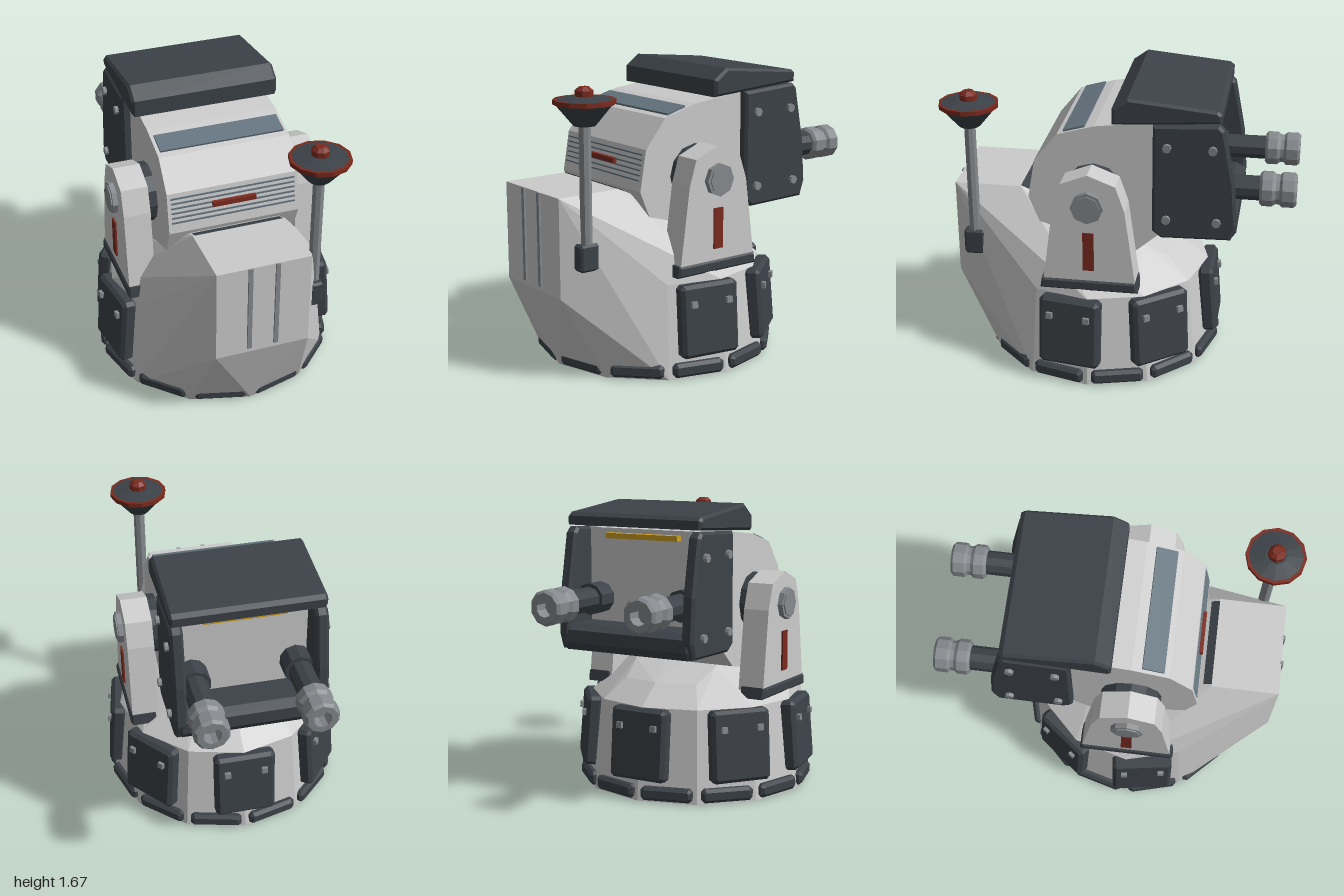
import * as THREE from 'three';
import { ConvexGeometry } from 'three/addons/geometries/ConvexGeometry.js';

const mat = (color) => new THREE.MeshStandardMaterial({ color, flatShading: true });
const grey = mat(0xcccccc), dark = mat(0x3c4248), steel = mat(0x868a8e);
const red = mat(0x7a2a1e), slate = mat(0x64747f), yellow = mat(0xd0a020);
const CZ = 0.125; // axis of the round base and the tilting drum

export function createModel() {
  const root = new THREE.Group();

  const add = (name, geo, material, parent = root) => {
    const m = new THREE.Mesh(geo, material);
    m.name = name;
    parent.add(m);
    return m;
  };
  const box = (name, w, h, d, x, y, z, material, parent) => {
    const m = add(name, new THREE.BoxGeometry(w, h, d), material, parent);
    m.position.set(x, y, z);
    return m;
  };
  // Side profile of [z, y] points, extruded from x0 to x1 with a chamfer
  const slab = (name, pts, x0, x1, bevel, material) => {
    const shape = new THREE.Shape(pts.map(([z, y]) => new THREE.Vector2(z, y)));
    const geo = new THREE.ExtrudeGeometry(shape, {
      depth: x1 - x0 - 2 * bevel, bevelEnabled: bevel > 0, bevelSegments: 1,
      bevelSize: bevel, bevelThickness: bevel, bevelOffset: -bevel,
    });
    geo.rotateY(-Math.PI / 2).translate(x1 - bevel, 0, 0);
    return add(name, geo, material);
  };
  // Cylinder lying along x or z
  const rod = (name, axis, r, len, x, y, z, sides, material) => {
    const geo = new THREE.CylinderGeometry(r, r, len, sides);
    if (axis === 'x') geo.rotateZ(Math.PI / 2);
    else geo.rotateX(Math.PI / 2);
    add(name, geo, material).position.set(x, y, z);
  };
  // Chamfered rectangular plate facing +z, centred
  const plate = (w, h, d, c) => {
    const s = new THREE.Shape();
    const a = w / 2, b = h / 2;
    [[a - c, -b], [a, c - b], [a, b - c], [a - c, b], [c - a, b], [-a, b - c], [-a, c - b], [c - a, -b]]
      .forEach(([x, y], i) => (i ? s.lineTo(x, y) : s.moveTo(x, y)));
    return new THREE.ExtrudeGeometry(s, {
      depth: d - 2 * c, bevelSize: c, bevelThickness: c, bevelOffset: -c, bevelSegments: 1,
    }).translate(0, 0, c - d / 2);
  };

  // Base: twelve-sided drum blended into a raised front block
  const pts = [];
  for (const [r, y] of [[0.675, 0], [0.62, 0.53], [0.47, 0.645]]) {
    for (let i = 0; i < 12; i++) {
      const a = (i * Math.PI) / 6;
      if (y > 0 && Math.sin(a) > 0.6) continue;
      pts.push(new THREE.Vector3(r * Math.cos(a), y, CZ + r * Math.sin(a)));
    }
  }
  for (const x of [-0.27, 0.27]) {
    for (const [y, z] of [[0.48, 0.955], [1.04, 0.955], [1.04, 0.57], [0.985, 0.47], [0.73, -0.12]]) {
      pts.push(new THREE.Vector3(x, y, z));
    }
  }
  add('baseHull', new ConvexGeometry(pts), grey);
  for (const x of [-0.08, 0.075]) box('frontRib', 0.025, 0.53, 0.02, x, 0.775, 0.956, steel);
  const slot = box('hullSlot', 0.51, 0.02, 0.05, 0, 1.025, 0.55, dark);
  slot.rotation.x = -0.4;

  // Bumpers around the foot of the base
  for (let i = 0; i < 12; i++) {
    const a = Math.PI / 12 + (i * Math.PI) / 6;
    const b = add('footBumper', plate(0.3, 0.08, 0.06, 0.018), dark);
    b.position.set(0.652 * Math.cos(a), 0.05, CZ + 0.652 * Math.sin(a));
    b.rotation.y = Math.PI / 2 - a;
  }

  // Armour panels with two bolts each
  for (const deg of [9, -38, -90, -142, 171]) {
    const a = (deg * Math.PI) / 180;
    const g = new THREE.Group();
    g.name = 'armourPanel';
    g.position.set(0.635 * Math.cos(a), 0.325, CZ + 0.635 * Math.sin(a));
    g.rotation.order = 'YXZ';
    g.rotation.set(-0.08, Math.PI / 2 - a, 0);
    add('panelPlate', plate(0.355, 0.41, 0.09, 0.02), dark, g);
    for (const x of [-0.11, 0.11]) box('panelBolt', 0.035, 0.035, 0.03, x, 0.1, 0.05, steel, g);
    root.add(g);
  }

  // Tilting head, a faceted drum with a squared rear
  slab('headDrum', [[0.12, 0.7], [-0.12, 0.74], [-0.27, 0.87], [-0.45, 0.9], [-0.45, 1.53], [-0.21, 1.52],
    [0.12, 1.48], [0.33, 1.42], [0.46, 1.26], [0.5, 1.03], [0.43, 0.86], [0.3, 0.76]].reverse(),
  -0.38, 0.38, 0, grey);
  const band = box('topBand', 0.72, 0.012, 0.125, 0, 1.452, 0.237, slate);
  band.rotation.x = Math.atan2(0.06, 0.21);
  for (let i = 0; i < 6; i++) {
    const y = 1.09 + i * 0.028;
    box('frontStripe', 0.72, 0.008, 0.012, 0, y, 0.5 - ((y - 1.03) * 0.04) / 0.23, slate);
  }
  box('frontRedStrip', 0.25, 0.028, 0.03, 0, 1.165, 0.484, red);
  for (let i = 0; i < 4; i++) {
    box('topStripe', 0.72, 0.008, 0.01, 0, 1.486 - i * 0.003, 0.02 + i * 0.022, slate);
  }

  // Roof visor, rear lower beam and yellow strip
  slab('roofVisor', [[0.015, 1.51], [0.015, 1.605], [-0.07, 1.667], [-0.56, 1.62], [-0.585, 1.6], [-0.585, 1.55]].reverse(),
    -0.43, 0.43, 0.015, dark);
  slab('rearBeam', [[-0.35, 0.85], [-0.65, 0.855], [-0.68, 0.9], [-0.675, 0.97], [-0.62, 1.0], [-0.35, 1.0]].reverse(),
    -0.4, 0.4, 0.01, dark);
  box('yellowStrip', 0.46, 0.03, 0.05, 0, 1.49, -0.47, yellow);

  for (const s of [-1, 1]) {
    // Extrusion between two distances from the centre, on either side
    const sideSlab = (name, p, a, b, bevel, m) =>
      slab(name, p, Math.min(s * a, s * b), Math.max(s * a, s * b), bevel, m);

    // Rear cheek plates
    sideSlab('cheekPlate', [[-0.21, 0.89], [-0.21, 1.52], [-0.57, 1.54], [-0.6, 1.51], [-0.66, 1.2],
      [-0.68, 0.95], [-0.65, 0.86], [-0.26, 0.85]], 0.36, 0.432, 0.015, dark);
    for (const [z, y] of [[-0.29, 1.4], [-0.54, 1.4], [-0.29, 0.97], [-0.57, 0.97]]) {
      rod('cheekBolt', 'x', 0.025, 0.04, s * 0.433, y, z, 8, steel);
    }

    // Support bracket, pivot and foot
    sideSlab('supportBracket', [[0.385, 0.59], [0.32, 1.07], [0.275, 1.215], [CZ, 1.275],
      [-0.03, 1.215], [-0.08, 1.07], [-0.145, 0.59]].reverse(), 0.43, 0.585, 0, grey);
    sideSlab('bracketFoot', [[0.4, 0.57], [0.39, 0.635], [-0.145, 0.635], [-0.155, 0.57]].reverse(),
      0.44, 0.595, 0.012, dark);
    rod('pivotDisc', 'x', 0.17, 0.07, s * 0.405, 1.09, CZ, 12, dark);
    rod('pivotCap', 'x', 0.092, 0.03, s * 0.6, 1.09, CZ, 8, steel);
    rod('pivotCapFace', 'x', 0.075, 0.03, s * 0.607, 1.09, CZ, 8, steel);
    box('bracketRedStrip', 0.02, 0.23, 0.062, s * 0.585, 0.815, 0.122, red);

    // Gun barrel with a hollow two-ring muzzle
    const gx = s * 0.295, gy = 1.135;
    rod('barrelRoot', 'z', 0.09, 0.14, gx, gy, -0.5, 10, dark);
    rod('barrel', 'z', 0.07, 0.42, gx, gy, -0.62, 10, dark);
    const muzzle = new THREE.LatheGeometry([
      [0.06, 0.795], [0.085, 0.795], [0.1, 0.81], [0.1, 0.865], [0.085, 0.885], [0.085, 0.905],
      [0.1, 0.92], [0.1, 0.985], [0.085, 1.0], [0.05, 1.0], [0.05, 0.92], [0, 0.92],
    ].map(([r, h]) => new THREE.Vector2(r, h)), 10);
    muzzle.rotateX(-Math.PI / 2);
    add('muzzle', muzzle, steel).position.set(gx, gy, 0);
  }

  // Antenna mast with a conical dish
  const mast = new THREE.Group();
  mast.name = 'antenna';
  mast.position.set(0.342, 0, 0.83);
  root.add(mast);
  const ring = (name, rTop, rBottom, y0, y1, sides, m) => {
    add(name, new THREE.CylinderGeometry(rTop, rBottom, y1 - y0, sides), m, mast).position.y = (y0 + y1) / 2;
  };
  add('mastFoot', plate(0.08, 0.15, 0.12, 0.012), dark, mast).position.y = 0.715;
  ring('mastPole', 0.033, 0.033, 0.75, 1.46, 8, steel);
  ring('dishCone', 0.16, 0.06, 1.43, 1.55, 12, dark);
  ring('dishRim', 0.168, 0.168, 1.545, 1.57, 12, red);
  ring('dishTop', 0.06, 0.15, 1.57, 1.585, 12, dark);
  ring('dishKnob', 0.05, 0.05, 1.58, 1.615, 8, red);
  ring('dishKnobTip', 0.028, 0.05, 1.615, 1.635, 8, red);

  return root;
}
